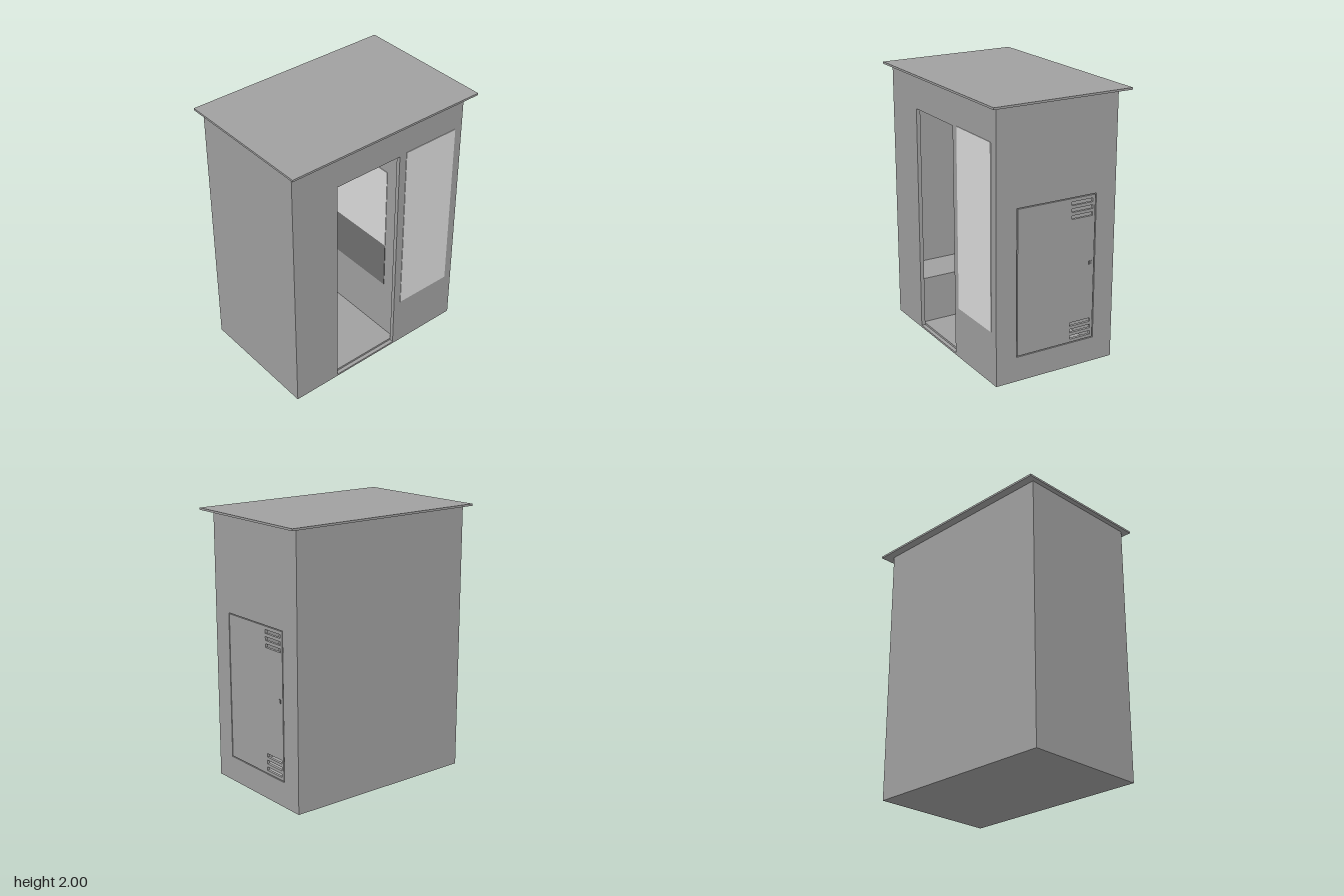
import * as THREE from 'three';

const paint = (name, color) => {
  const m = new THREE.MeshStandardMaterial({ color });
  m.name = name;
  return m;
};

export function createModel() {
  const group = new THREE.Group();
  const grey = paint('grey panel', 0xa0a0a0);
  const light = paint('light panel', 0xdcdcdc);
  const dark = paint('dark grey', 0x707070);

  // outer shell limits and wall thickness
  const X0 = -0.77, X1 = 0.73, Z = 0.48, H = 1.985, T = 0.03;

  const add = (name, geometry, material) => {
    const mesh = new THREE.Mesh(geometry, material);
    mesh.name = name;
    group.add(mesh);
    return mesh;
  };

  // box given by its limits on each axis
  const box = (name, x0, x1, y0, y1, z0, z1, material = grey) => {
    const mesh = add(name, new THREE.BoxGeometry(x1 - x0, y1 - y0, z1 - z0), material);
    mesh.position.set((x0 + x1) / 2, (y0 + y1) / 2, (z0 + z1) / 2);
    return mesh;
  };

  // rectangular sheet with rectangular holes, each [u0, u1, v0, v1]
  const trace = (path, [u0, u1, v0, v1]) => {
    path.moveTo(u0, v0);
    path.lineTo(u1, v0);
    path.lineTo(u1, v1);
    path.lineTo(u0, v1);
    path.closePath();
    return path;
  };
  const sheet = (outline, holes, depth) => {
    const shape = trace(new THREE.Shape(), outline);
    holes.forEach((h) => shape.holes.push(trace(new THREE.Path(), h)));
    return new THREE.ExtrudeGeometry(shape, { depth, bevelEnabled: false });
  };

  // front wall with the entrance
  add('frontWall', sheet([X0, X1, 0, H], [[-0.395, 0.15, 0.015, 1.725]], T), grey)
    .position.z = Z - T;

  // plain walls, floor and roof
  box('backWall', X0, X1, 0, H, -Z, -Z + T);
  box('leftEndWall', X0, X0 + T, 0, H, -Z + T, Z - T);
  box('floor', X0 + T, X1 - T, 0, 0.03, -Z + T, Z - T);
  box('roof', -0.805, 0.805, H, 2, -0.54, 0.54);

  // service end wall: u runs towards -z, extrusion towards +x
  const endWall = add('serviceWall',
    sheet([-Z + T, Z - T, 0, H], [[-0.32, 0.32, 0.185, 1.272]], T), grey);
  endWall.rotation.y = Math.PI / 2;
  endWall.position.x = X1 - T;

  // service door with two groups of vent slots
  const slots = [];
  for (const base of [0.215, 1.115]) {
    for (let i = 0; i < 3; i++) {
      const v = base + i * 0.05;
      slots.push([0.12, 0.292, v, v + 0.027]);
    }
  }
  const door = add('serviceDoor', sheet([-0.312, 0.312, 0.192, 1.266], slots, 0.02), grey);
  door.rotation.y = Math.PI / 2;
  door.position.x = X1 - 0.02;
  box('doorLock', X1 - 0.005, X1 + 0.003, 0.755, 0.782, -0.292, -0.27, dark);

  // lit display panel on the front
  box('displayPanel', 0.21, 0.665, 0.39, 1.735, Z, Z + 0.004, light);

  // bench: solid base and thin seat
  box('benchBase', X0 + T, -0.414, 0.03, 0.37, -Z + T, Z - T);
  box('benchSeat', X0 + T, -0.41, 0.37, 0.39, -Z + T, Z - T);

  // inner partition with light screen and dark console plates on both faces
  box('partition', 0.18, 0.2, 0.03, H, -Z + T, Z - T);
  for (const x of [0.176, 0.2]) {
    box('screenPlate', x, x + 0.004, 0.85, 1.5, -0.33, 0.33, light);
    box('consolePlate', x, x + 0.004, 0.48, 0.85, -0.33, 0.33, dark);
  }

  return group;
}
